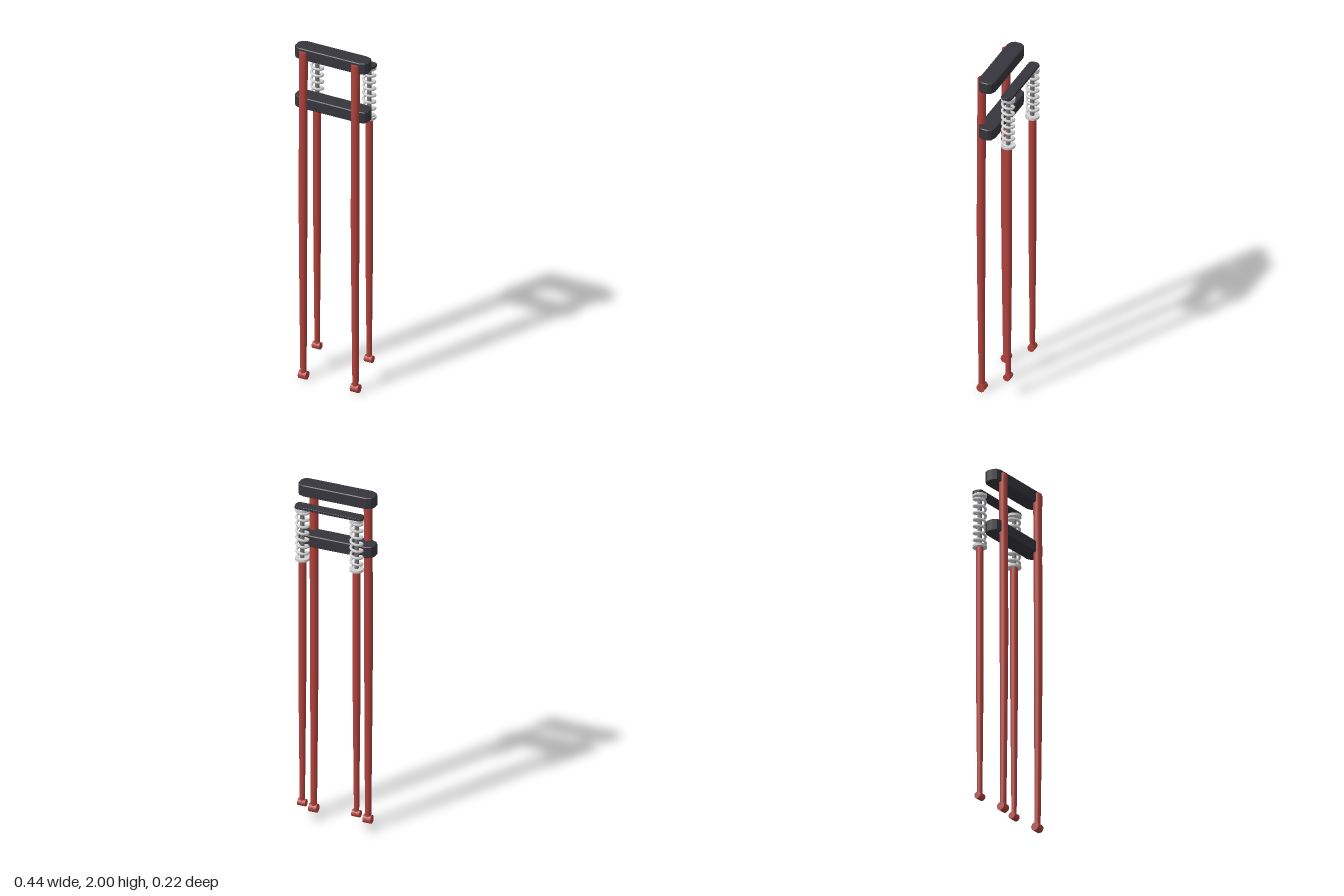
import * as THREE from 'three';

const LEG_X = 0.158, REAR_Z = -0.072;

const mat = (name, color) => {
  const m = new THREE.MeshStandardMaterial({ color });
  m.name = name;
  return m;
};

export function createModel() {
  const red = mat('red paint', 0xb0423c);
  const black = mat('black metal', 0x35353c);
  const silver = mat('silver steel', 0xd2d2d2);
  const grey = mat('grey steel', 0x77777a);

  const root = new THREE.Group();
  root.name = 'springFork';
  const add = (parent, name, geometry, material, x = 0, y = 0, z = 0) => {
    const mesh = new THREE.Mesh(geometry, material);
    mesh.name = name;
    mesh.position.set(x, y, z);
    parent.add(mesh);
    return mesh;
  };

  // Flat bar with chamfered ends, lying in the xz plane from y0 to y1
  const bar = (hx, hz, cut, y0, y1, bevel) => {
    const a = hx - bevel, b = hz - bevel;
    const q = [[a, b * 0.38], [a - cut * 0.32, b * 0.78], [a - cut, b]];
    const flip = (sx, sz, list) => list.map(([x, z]) => new THREE.Vector2(x * sx, z * sz));
    const r = [...q].reverse();
    const pts = [...flip(1, 1, q), ...flip(-1, 1, r), ...flip(-1, -1, q), ...flip(1, -1, r)];
    const geo = new THREE.ExtrudeGeometry(new THREE.Shape(pts), {
      depth: y1 - y0 - 2 * bevel, bevelEnabled: true,
      bevelThickness: bevel, bevelSize: bevel, bevelSegments: 1,
    });
    geo.rotateX(-Math.PI / 2);
    geo.translate(0, y0 + bevel, 0);
    return geo;
  };

  // Tapered leg with a slight forward bow
  const leg = (y0, y1, rBottom, rTop, bow) => {
    const geo = new THREE.CylinderGeometry(1, 1, 1, 16, 12);
    const p = geo.attributes.position;
    for (let i = 0; i < p.count; i++) {
      const t = p.getY(i) + 0.5;
      const r = rBottom + (rTop - rBottom) * Math.min(1, t * 2);
      p.setXYZ(i, p.getX(i) * r, y0 + t * (y1 - y0), p.getZ(i) * r + bow * Math.sin(Math.PI * t));
    }
    geo.computeVertexNormals();
    return geo;
  };

  // Axle lug, a short cylinder lying across the leg end
  const lug = (r, width) => new THREE.CylinderGeometry(r, r, width, 16).rotateZ(Math.PI / 2);

  // Coil spring wire
  const coil = (y0, y1, radius, turns, wire) => {
    const pts = [];
    const n = turns * 12;
    for (let i = 0; i <= n; i++) {
      const a = (i / 12) * Math.PI * 2;
      pts.push(new THREE.Vector3(radius * Math.cos(a), y0 + (y1 - y0) * i / n, radius * Math.sin(a)));
    }
    return new THREE.TubeGeometry(new THREE.CatmullRomCurve3(pts), turns * 24, wire, 8);
  };

  // Two clamps joining the front legs, and the thin spring plate behind
  add(root, 'upperClamp', bar(0.222, 0.048, 0.035, 1.933, 2.0, 0.004), black, 0, 0, 0.039);
  add(root, 'lowerClamp', bar(0.222, 0.048, 0.035, 1.638, 1.705, 0.004), black, 0, 0, 0.039);
  add(root, 'springPlate', bar(0.197, 0.03, 0.015, 1.903, 1.918, 0.001), black, 0, 0, REAR_Z);

  for (const side of [-1, 1]) {
    const label = side > 0 ? 'left' : 'right';
    const half = new THREE.Group();
    half.name = label + 'Side';
    half.position.x = side * LEG_X;
    root.add(half);

    add(half, label + 'FrontLeg', leg(0.025, 1.985, 0.017, 0.0235, 0.005), red, 0, 0, 0.081);
    add(half, label + 'FrontLug', lug(0.024, 0.046), red, 0, 0.024, 0.08);
    add(half, label + 'RearLeg', leg(0.13, 1.595, 0.014, 0.021, 0), red, 0, 0, REAR_Z);
    add(half, label + 'RearLug', lug(0.02, 0.046), red, 0, 0.13, REAR_Z);

    // Spring with its guide rod and end seats
    const spring = new THREE.Group();
    spring.name = label + 'Spring';
    spring.position.z = REAR_Z;
    half.add(spring);
    add(spring, 'guideRod', new THREE.CylinderGeometry(0.012, 0.012, 0.31, 12), grey, 0, 1.75, 0);
    add(spring, 'coil', coil(1.612, 1.892, 0.031, 7, 0.0075), silver);
    for (const [name, y] of [['lowerSeat', 1.598], ['upperSeat', 1.896]]) {
      add(spring, name, new THREE.CylinderGeometry(0.039, 0.039, 0.014, 16), silver, 0, y, 0);
    }
  }
  return root;
}
